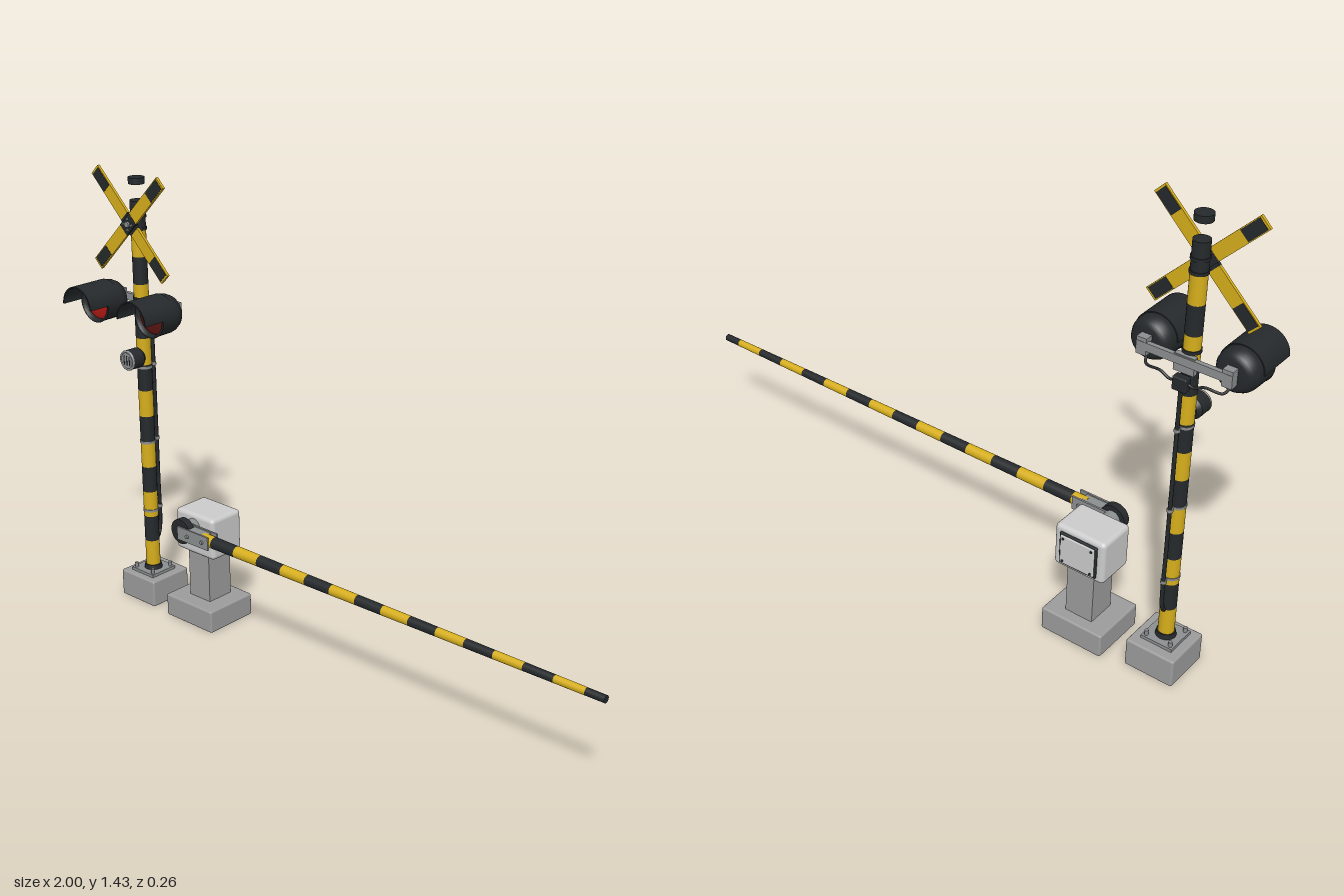
import * as THREE from 'three';
import { RoundedBoxGeometry } from 'three/addons/geometries/RoundedBoxGeometry.js';

const mat = (color, side = THREE.FrontSide) => new THREE.MeshStandardMaterial({ color, side });

export function createModel() {
  const root = new THREE.Group();
  const yellow = mat(0xd6ae1c), black = mat(0x25292b), concrete = mat(0x9c9c9c), grey = mat(0xcccccc);
  const steel = mat(0x8c8f90), hoodBlack = mat(0x25292b, THREE.DoubleSide);

  const group = (name, parent = root) => {
    const g = new THREE.Group();
    g.name = name;
    parent.add(g);
    return g;
  };
  const add = (parent, name, geo, material, x = 0, y = 0, z = 0) => {
    const m = new THREE.Mesh(geo, material);
    m.name = name;
    m.position.set(x, y, z);
    parent.add(m);
    return m;
  };
  const box = (w, h, d) => new THREE.BoxGeometry(w, h, d);
  const rbox = (w, h, d, r) => new RoundedBoxGeometry(w, h, d, 3, r);
  const cyl = (r1, r2, h, n = 32) => new THREE.CylinderGeometry(r1, r2, h, n);
  const cylZ = (r1, r2, h, n) => cyl(r1, r2, h, n).rotateX(Math.PI / 2); // first radius faces +z
  const tube = (pts, r) => new THREE.TubeGeometry(
    new THREE.CatmullRomCurve3(pts.map(p => new THREE.Vector3(...p))), 32, r, 8);

  const PX = -0.81, PZ = -0.023;

  // Post foot: concrete block, flange and anchor bolts
  const foot = group('postFoot');
  add(foot, 'postFooting', rbox(0.155, 0.09, 0.155, 0.006), concrete, PX, 0.045, -0.028);
  add(foot, 'flange', box(0.1, 0.01, 0.1), steel, PX, 0.095, PZ);
  add(foot, 'postCollar', cyl(0.027, 0.03, 0.016), black, PX, 0.107, PZ);
  for (const sx of [-1, 1]) for (const sz of [-1, 1])
    add(foot, 'anchorBolt', cyl(0.006, 0.006, 0.018, 6), steel, PX + sx * 0.039, 0.107, PZ + sz * 0.039);

  // Striped post
  const post = group('post');
  const pitch = 0.0875;
  for (let i = 0; i < 15; i++) {
    const a = Math.max(0.1, 0.0265 + i * pitch), b = Math.min(1.39, 0.0265 + (i + 1) * pitch);
    add(post, 'postStripe', cyl(0.0235, 0.0235, b - a), i % 2 ? yellow : black, PX, (a + b) / 2, PZ);
  }
  add(post, 'postCap', cyl(0.0255, 0.0255, 0.02), black, PX, 1.4, PZ);

  // Conduit with clamps and junction box on the back of the post
  const conduit = group('conduit');
  add(conduit, 'conduitPipe', tube([[PX, 0.95, -0.062], [PX, 0.7, -0.062], [PX, 0.4, -0.062],
    [PX, 0.25, -0.062], [PX, 0.21, -0.055], [PX, 0.19, -0.035]], 0.006), black);
  add(conduit, 'junctionBox', rbox(0.042, 0.04, 0.026, 0.004), black, PX, 0.948, -0.062);
  for (const y of [0.31, 0.55, 0.805]) {
    add(conduit, 'postBand', cyl(0.0255, 0.0255, 0.008), steel, PX, y, PZ);
    add(conduit, 'pipeClamp', cyl(0.009, 0.009, 0.01, 16), steel, PX, y, -0.061);
  }

  // Crossed warning boards
  const cross = group('crossSign');
  cross.position.set(PX, 1.27, 0.011);
  [1, -1].forEach((s, i) => {
    const board = group('crossBoard', cross);
    board.rotation.z = s * Math.PI / 4;
    board.position.z = i ? -0.002 : 0.003;
    add(board, 'boardRim', box(0.42, 0.041, 0.009), yellow);
    for (const m of [-1, 1]) add(board, 'boardStripe', box(0.068, 0.036, 0.011), black, m * 0.17);
    add(board, 'boardStripe', box(0.06, 0.042, 0.0105), black);
  });
  add(cross, 'centreBolt', cylZ(0.009, 0.009, 0.008, 16), steel, 0, 0, 0.011);
  for (const a of [0, 1, 2, 3])
    add(cross, 'boardBolt', cylZ(0.004, 0.004, 0.006, 8), steel,
      0.017 * Math.cos(a * Math.PI / 2), 0.017 * Math.sin(a * Math.PI / 2), 0.01);
  for (const y of [-0.018, 0.02]) add(cross, 'signBand', cyl(0.026, 0.026, 0.009), black, 0, y, PZ - 0.011);

  // Twin signal lamps
  const profile = [[0, -0.036], [0.04, -0.036], [0.052, -0.028], [0.06, -0.012], [0.062, 0.0],
    [0.063, 0.058], [0.065, 0.062], [0.058, 0.062], [0.056, 0.045], [0, 0.045]]
    .map(p => new THREE.Vector2(...p));
  const shell = new THREE.LatheGeometry(profile, 48).rotateX(Math.PI / 2);
  const lens = new THREE.SphereGeometry(0.056, 40, 8, 0, Math.PI * 2, 0, Math.PI / 2)
    .scale(1, 0.16, 1).rotateX(Math.PI / 2);
  // Upper half visor, extruded from a half ring
  const arc = new THREE.Shape();
  arc.absarc(0, 0, 0.065, 0, Math.PI, false);
  arc.absarc(0, 0, 0.061, Math.PI, 0, true);
  const visor = new THREE.ExtrudeGeometry(arc, { depth: 0.125, bevelEnabled: false, curveSegments: 32 });
  for (const s of [-1, 1]) {
    const lamp = group(s < 0 ? 'rightLamp' : 'leftLamp');
    lamp.position.set(PX + s * 0.125, 1.008, 0);
    add(lamp, 'lampHousing', shell, hoodBlack);
    add(lamp, 'lampLens', lens, mat(s < 0 ? 0xb51a12 : 0x5c1614), 0, 0, 0.045);
    add(lamp, 'lampVisor', visor, hoodBlack, 0, 0, 0.01);
    add(lamp, 'lampMount', box(0.03, 0.05, 0.028), steel, 0, 0, -0.047);
    add(lamp, 'lampCable', tube([[0, -0.035, -0.03], [-s * 0.012, -0.052, -0.05], [-s * 0.06, -0.05, -0.058],
      [-s * 0.09, -0.062, -0.06], [-s * 0.115, -0.056, -0.06]], 0.004), black);
  }
  const bar = group('lampBar');
  add(bar, 'crossBar', box(0.28, 0.024, 0.014), steel, PX, 1.01, -0.055);
  add(bar, 'barBracket', box(0.06, 0.05, 0.016), steel, PX, 1.0, -0.05);
  for (const y of [0.985, 1.03]) add(bar, 'barBand', cyl(0.026, 0.026, 0.01), black, PX, y, PZ);

  // Bell
  const bell = group('bell');
  bell.position.set(PX, 0.84, 0);
  add(bell, 'bellBody', cylZ(0.032, 0.032, 0.045), black, 0, 0, 0.026);
  add(bell, 'bellBack', cylZ(0.032, 0.022, 0.012), black, 0, 0, -0.0025);
  add(bell, 'bellRing', new THREE.TorusGeometry(0.029, 0.004, 10, 40), steel, 0, 0, 0.047);
  add(bell, 'bellFace', cylZ(0.025, 0.025, 0.003), steel, 0, 0, 0.0485);
  for (const x of [-0.012, 0, 0.012]) add(bell, 'bellSlot', box(0.004, 0.03, 0.002), black, x, 0, 0.05);

  // Gate machine: footing, pedestal, cabinet and rear door
  const GX = -0.5625, GZ = -0.045;
  const machine = group('gateMachine');
  add(machine, 'gateFooting', rbox(0.205, 0.075, 0.185, 0.006), concrete, GX, 0.0375, -0.0375);
  add(machine, 'pedestal', box(0.09, 0.17, 0.095), concrete, GX, 0.158, GZ);
  add(machine, 'cabinet', rbox(0.168, 0.14, 0.128, 0.014), grey, GX, 0.306, GZ);
  add(machine, 'doorGasket', rbox(0.124, 0.106, 0.012, 0.004), black, GX, 0.306, -0.11);
  add(machine, 'cabinetDoor', rbox(0.114, 0.096, 0.012, 0.004), grey, GX, 0.306, -0.114);
  for (const sx of [-1, 1]) for (const sy of [-1, 1])
    add(machine, 'doorScrew', cylZ(0.004, 0.004, 0.004, 8), black, GX + sx * 0.047, 0.306 + sy * 0.038, -0.12);

  // Pivot and arm bracket
  const AY = 0.335, AZ = 0.066;
  const pivot = group('gatePivot');
  add(pivot, 'pivotShaft', cylZ(0.026, 0.026, 0.05), steel, GX, AY, 0.035);
  add(pivot, 'pivotDisc', cylZ(0.041, 0.041, 0.024), black, GX, AY, 0.066);
  for (const s of [-1, 1])
    add(pivot, 'armBracket', box(0.135, 0.044, 0.006), steel, -0.498, AY, AZ + s * 0.02);
  add(pivot, 'bracketSpacer', box(0.1, 0.036, 0.038), steel, -0.505, AY, AZ);
  for (const x of [-0.52, -0.455])
    add(pivot, 'bracketBolt', cylZ(0.006, 0.006, 0.058, 8), steel, x, AY, AZ);

  // Tapered striped gate arm
  const arm = group('gateArm');
  const radius = x => 0.0195 - 0.0085 * (x + 0.47) / 1.47;
  for (let i = -2; i < 14; i++) {
    const a = Math.max(-0.47, -0.325 + i * 0.0973), b = Math.min(1, -0.325 + (i + 1) * 0.0973);
    add(arm, 'armStripe', cyl(radius(b), radius(a), b - a, 24).rotateZ(-Math.PI / 2),
      i % 2 ? black : yellow, (a + b) / 2, AY, AZ);
  }
  return root;
}
